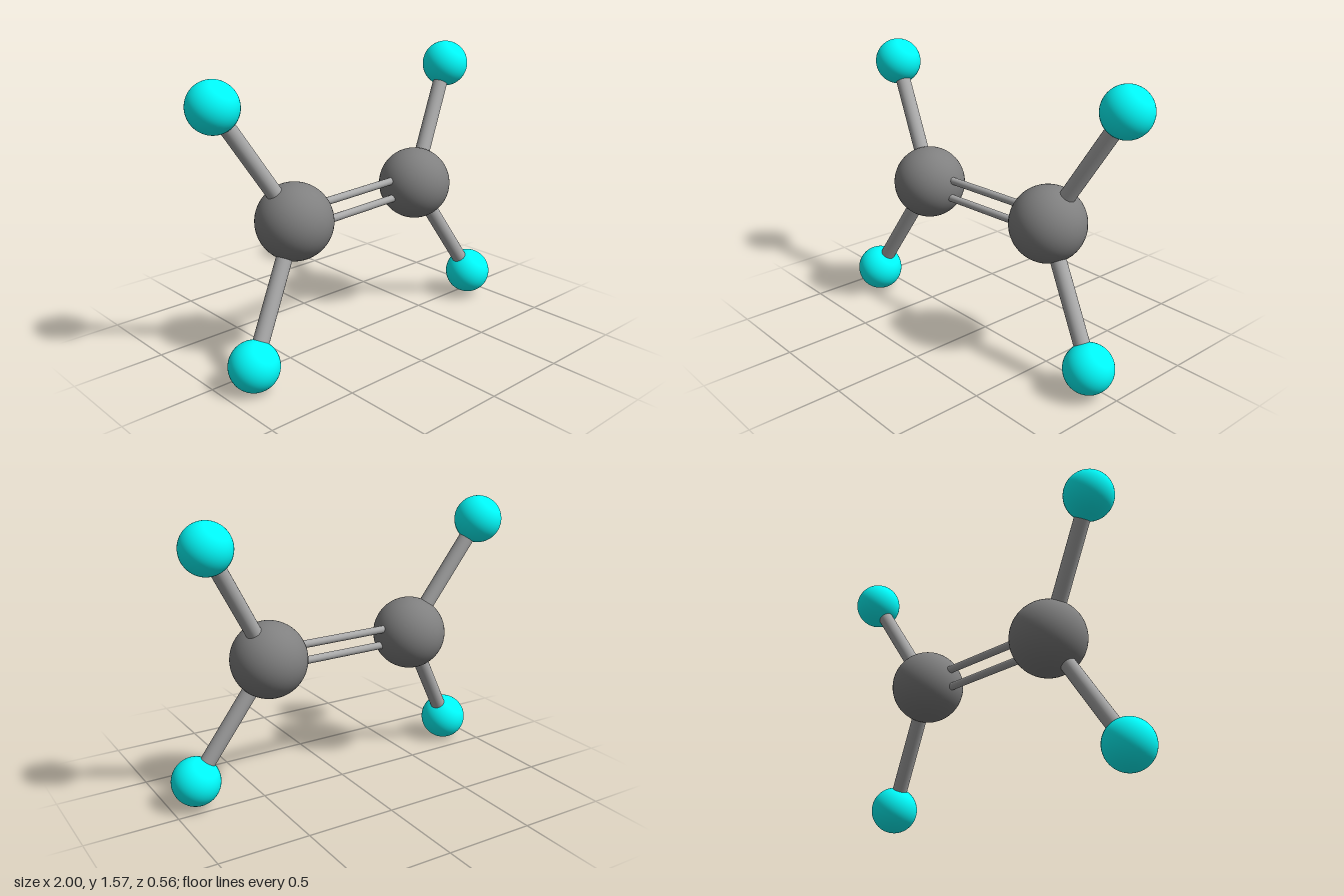
import * as THREE from 'three';

const V = (x, y, z) => new THREE.Vector3(x, y, z);
const darkGrey = new THREE.MeshStandardMaterial({ color: 0x808080 });
const cyan = new THREE.MeshStandardMaterial({ color: 0x00ffff });
const bondGrey = new THREE.MeshStandardMaterial({ color: 0xaaaaaa });

// Ball at a given centre
function atom(name, center, radius, material) {
  const mesh = new THREE.Mesh(new THREE.SphereGeometry(radius, 48, 32), material);
  mesh.name = name;
  mesh.position.copy(center);
  return mesh;
}

// Rod running from one point to another
function bond(name, a, b, radius) {
  const dir = b.clone().sub(a);
  const mesh = new THREE.Mesh(new THREE.CylinderGeometry(radius, radius, dir.length(), 24), bondGrey);
  mesh.name = name;
  mesh.position.copy(a).lerp(b, 0.5);
  mesh.quaternion.setFromUnitVectors(V(0, 1, 0), dir.normalize());
  return mesh;
}

export function createModel() {
  const model = new THREE.Group();
  model.name = 'molecule';

  // Each large atom carries two small ones
  const ends = [
    { side: 'left', center: V(0.463, 0.797, -0.023),
      small: { Upper: V(0.838, 1.444, -0.147), Lower: V(0.865, 0.16, 0.07) } },
    { side: 'right', center: V(-0.467, 0.786, 0.022),
      small: { Upper: V(-0.867, 1.423, -0.07), Lower: V(-0.84, 0.139, 0.147) } },
  ];
  for (const { side, center, small } of ends) {
    model.add(atom(`${side}LargeAtom`, center, 0.206, darkGrey));
    for (const [level, p] of Object.entries(small)) {
      model.add(atom(`${side}${level}SmallAtom`, p, 0.133, cyan));
      model.add(bond(`${side}${level}Bond`, center, p, 0.043));
    }
  }

  // Double bond: two thin parallel rods, spread within the plane of the molecule
  const [a, b] = ends.map((e) => e.center);
  const spread = V(0, 0.986, -0.165).multiplyScalar(0.05);
  for (const [name, s] of [['upperDoubleBond', 1], ['lowerDoubleBond', -1]]) {
    const offset = spread.clone().multiplyScalar(s);
    model.add(bond(name, a.clone().add(offset), b.clone().add(offset), 0.021));
  }
  return model;
}
